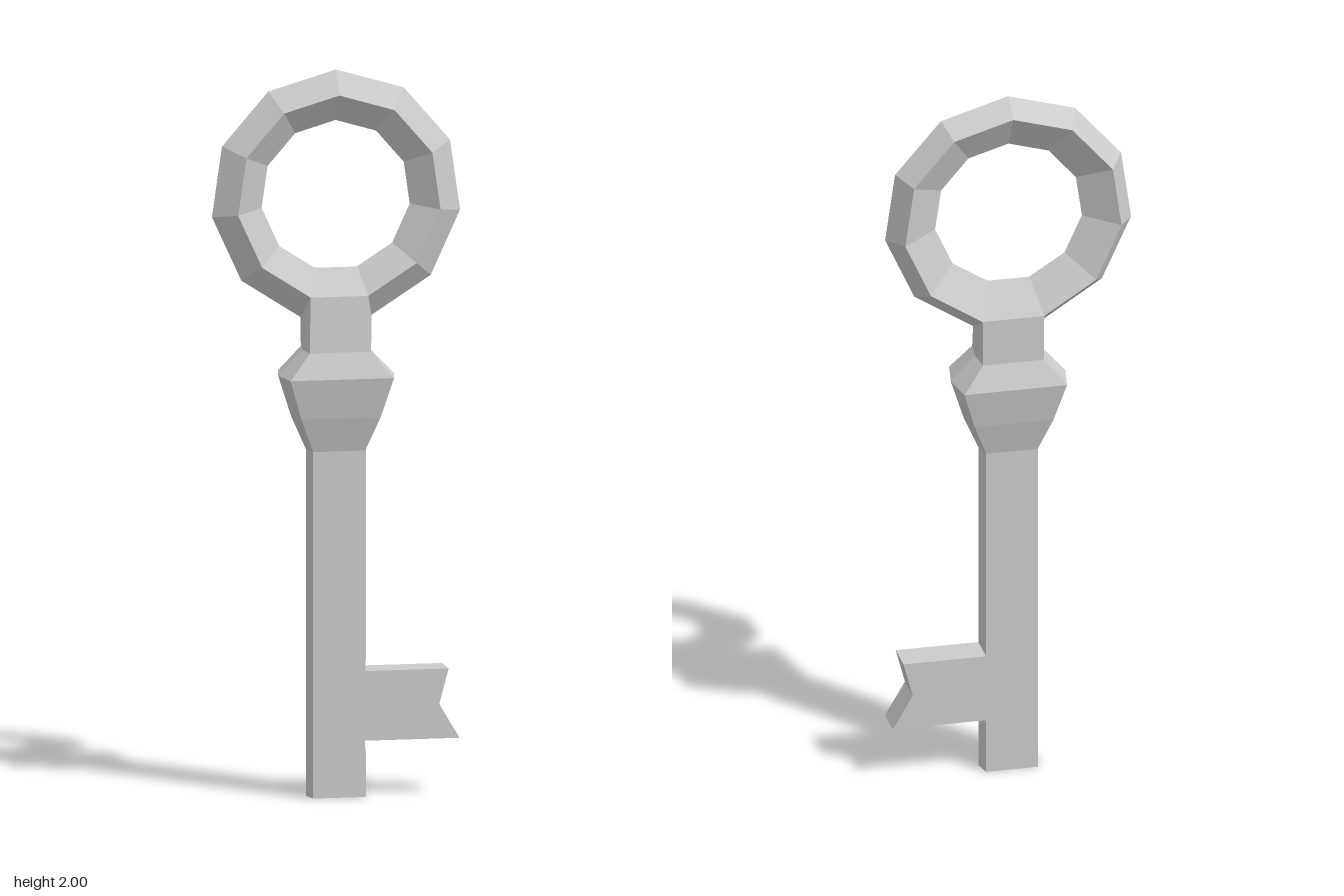
import * as THREE from 'three';

const material = new THREE.MeshStandardMaterial({ color: 0xcccccc, flatShading: true });

function addPart(group, name, geometry) {
  const mesh = new THREE.Mesh(geometry, material);
  mesh.name = name;
  group.add(mesh);
  return mesh;
}

// Six-sided cross-section: flat front and back, ridges left and right
function section(y, faceX, ridgeX, z, ridgeLeft = ridgeX) {
  return [
    [faceX, y, z], [ridgeLeft, y, 0], [faceX, y, -z],
    [-faceX, y, -z], [-ridgeX, y, 0], [-faceX, y, z],
  ];
}

// Skin a stack of cross-sections, bottom to top, with closed ends
function loft(sections) {
  const n = sections[0].length;
  const index = [];
  for (let i = 0; i < sections.length - 1; i++) {
    for (let j = 0; j < n; j++) {
      const a = i * n + j, b = i * n + (j + 1) % n;
      index.push(a, b, b + n, a, b + n, a + n);
    }
  }
  const top = (sections.length - 1) * n;
  for (let j = 1; j < n - 1; j++) {
    index.push(0, j + 1, j);
    index.push(top, top + j, top + j + 1);
  }
  const geometry = new THREE.BufferGeometry();
  geometry.setAttribute('position', new THREE.Float32BufferAttribute(sections.flat(2), 3));
  geometry.setIndex(index);
  geometry.computeVertexNormals();
  return geometry;
}

export function createModel() {
  const key = new THREE.Group();
  key.name = 'key';

  // Eleven-sided bow ring with a four-sided, slightly uneven profile
  const sides = 11, bowY = 1.653;
  const outer = 0.347, front = 0.283, back = 0.305, inner = 0.207;
  const profile = [
    [front, -0.05], [outer, 0], [back, 0.065], [inner, 0.005], [front, -0.05],
  ].map(([r, d]) => new THREE.Vector2(r, d));
  const ring = new THREE.LatheGeometry(profile, sides);
  ring.rotateX(-Math.PI / 2);
  addPart(key, 'bowRing', ring).position.y = bowY;

  // Shaft: the left ridge dips inward where the bit joins
  addPart(key, 'shaft', loft([
    section(0, 0.072, 0.083, 0.047),
    section(0.12, 0.072, 0.083, 0.047),
    section(0.155, 0.072, 0.083, 0.047, 0.072),
    section(0.347, 0.072, 0.083, 0.047, 0.072),
    section(0.385, 0.072, 0.083, 0.047),
    section(0.955, 0.072, 0.083, 0.047),
  ]));

  // Flared collar
  addPart(key, 'collar', loft([
    section(0.955, 0.072, 0.083, 0.047),
    section(1.05, 0.11, 0.125, 0.073),
    section(1.16, 0.143, 0.16, 0.094),
    section(1.23, 0.085, 0.092, 0.066),
  ]));

  // Neck: its top corners land on the lowest side of the ring
  const ringCorner = (r, z, side) => [
    side * r * Math.sin(Math.PI / sides), bowY - r * Math.cos(Math.PI / sides), z,
  ];
  addPart(key, 'neck', loft([
    section(1.23, 0.085, 0.092, 0.066),
    [
      ringCorner(front, 0.05, 1), ringCorner(outer, 0, 1), ringCorner(back, -0.065, 1),
      ringCorner(back, -0.065, -1), ringCorner(outer, 0, -1), ringCorner(front, 0.05, -1),
    ],
  ]));

  // Bit with a notched end
  const outline = [[0.072, 0.155], [0.333, 0.155], [0.277, 0.25], [0.303, 0.347], [0.072, 0.347]];
  const shape = new THREE.Shape(outline.map(([x, y]) => new THREE.Vector2(x, y)));
  const bit = new THREE.ExtrudeGeometry(shape, { depth: 0.094, bevelEnabled: false });
  bit.translate(0, 0, -0.047);
  addPart(key, 'bit', bit);

  return key;
}
